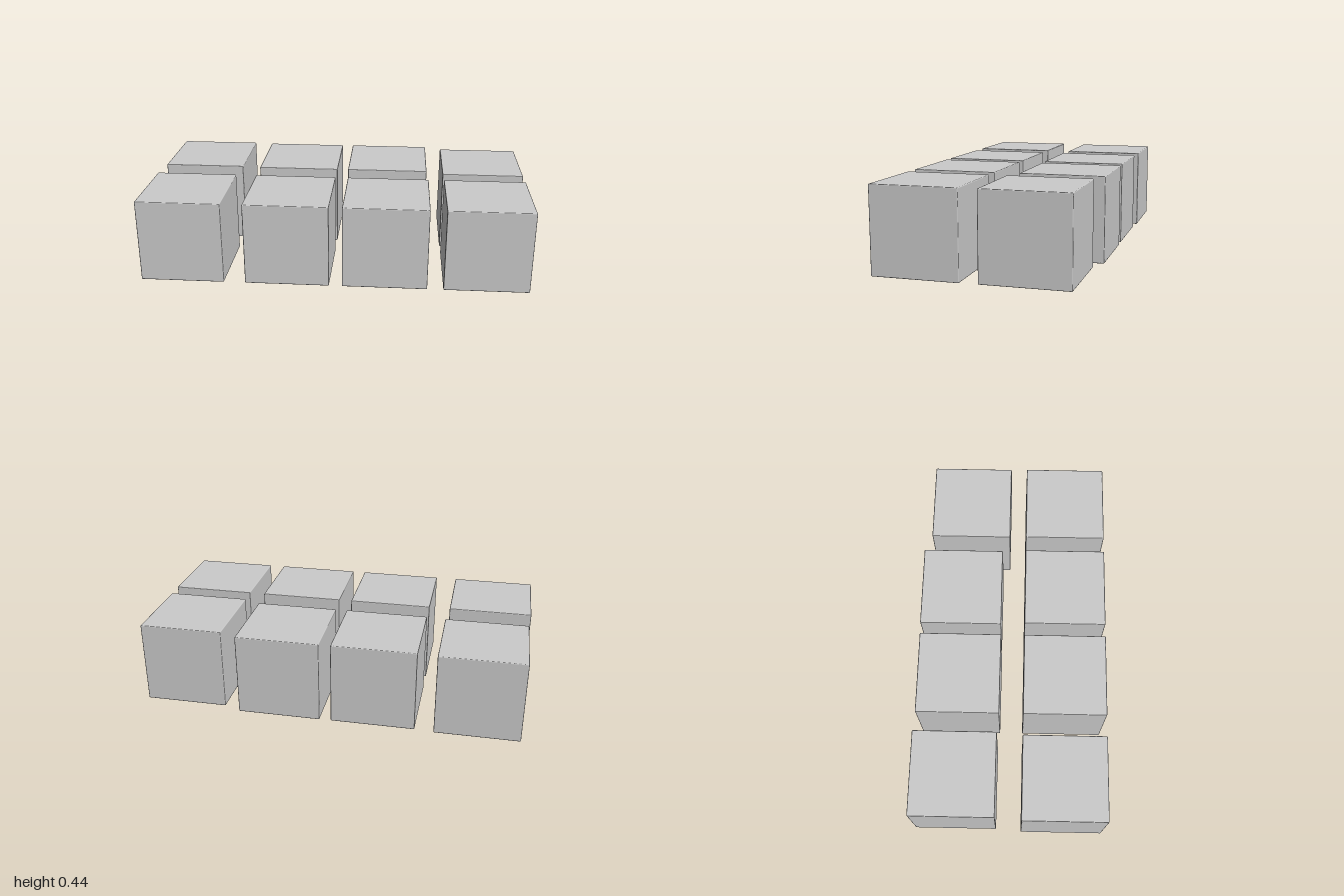
import * as THREE from 'three';
import { RoundedBoxGeometry } from 'three/addons/geometries/RoundedBoxGeometry.js';

const SIZE = 0.435;

export function createModel() {
  const group = new THREE.Group();
  group.name = 'cubes';
  const material = new THREE.MeshStandardMaterial({ color: 0xcccccc });

  // One cube with finely eased edges, shared by all eight
  const geometry = new RoundedBoxGeometry(SIZE, SIZE, SIZE, 1, 0.005);

  // Two slightly uneven rows: [x, z] of each cube's centre
  const rows = {
    frontCube: [[-0.782, 0.284], [-0.237, 0.284], [0.265, 0.284], [0.782, 0.284]],
    backCube: [[-0.77, -0.284], [-0.237, -0.275], [0.257, -0.277], [0.779, -0.239]],
  };
  for (const [name, centres] of Object.entries(rows)) {
    centres.forEach(([x, z], i) => {
      const cube = new THREE.Mesh(geometry, material);
      cube.name = `${name}${i + 1}`;
      cube.position.set(x, SIZE / 2, z);
      group.add(cube);
    });
  }
  return group;
}
